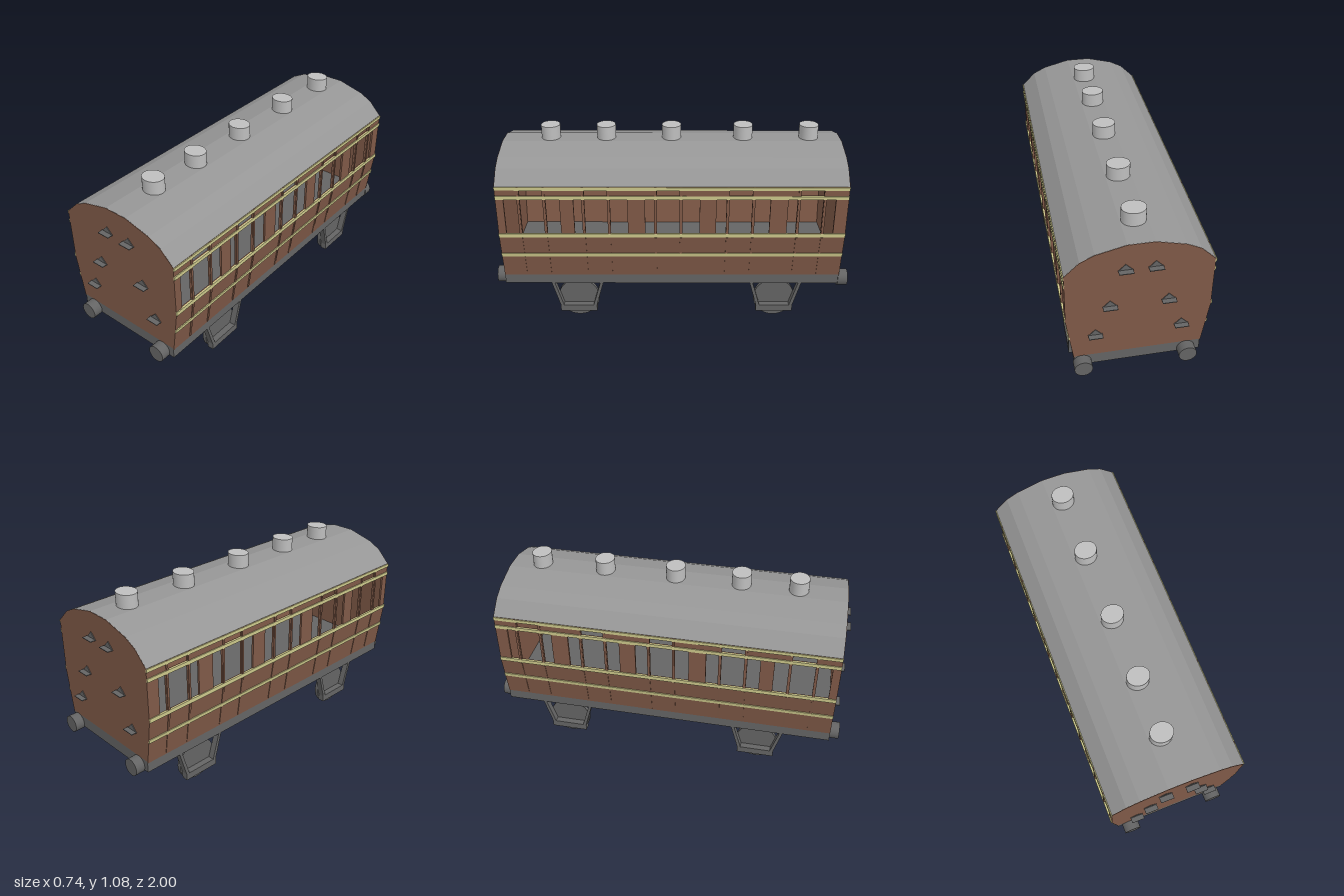
import * as THREE from 'three';

const mat = (name, color, side = THREE.FrontSide) => {
  const m = new THREE.MeshStandardMaterial({ color, side });
  m.name = name;
  return m;
};

export function createModel() {
  const brown = mat('teak brown', 0x7f5947);
  const cream = mat('cream lining', 0xcbc78a);
  const roofGrey = mat('roof grey', 0x969696);
  const ventGrey = mat('vent grey', 0xbebebe);
  const iron = mat('iron grey', 0x646464, THREE.DoubleSide);

  const root = new THREE.Group();
  root.name = 'railwayCarriage';
  const add = (name, geo, material, x = 0, y = 0, z = 0, parent = root) => {
    const m = new THREE.Mesh(geo, material);
    m.name = name;
    m.position.set(x, y, z);
    parent.add(m);
    return m;
  };
  const box = (w, h, d) => new THREE.BoxGeometry(w, h, d);
  const poly = (pts) => new THREE.Shape(pts.map(([x, y]) => new THREE.Vector2(x, y)));
  const extrude = (shape, depth) =>
    new THREE.ExtrudeGeometry(shape, { depth, bevelEnabled: false });
  const rect = (a0, a1, b0, b1) => poly([[a0, b0], [a1, b0], [a1, b1], [a0, b1]]);
  // Shape drawn in (z, y), given thickness t inward from x = 0
  const sidePlate = (shape, t) => extrude(shape, t).rotateY(-Math.PI / 2);

  const L = 0.948, W = 0.366, FOOT = 0.331, WALL = 0.012;
  const FLOOR = 0.3, WAIST = 0.55, EAVES = 0.85;

  // Underframe, which is also the floor
  add('underframe', box(0.656, FLOOR - 0.235, 2 * L), iron, 0, (FLOOR + 0.235) / 2, 0);

  // Roof shell with flat facets
  const arc = [[W, EAVES], [0.29, 0.925], [0.218, 0.961], [0.067, 0.999]];
  const mirror = (pts) => pts.map(([x, y]) => [-x, y]).reverse();
  const outer = [...arc, ...mirror(arc)];
  const inner = outer.map(([x, y]) => [x * 0.98, y - 0.012]).reverse();
  add('roof', extrude(poly([...outer, ...inner]), 2 * L - 0.004), roofGrey, 0, 0.001, -L + 0.002);

  // End walls
  const side = [[FOOT, FLOOR], [W, WAIST]];
  const endShape = poly([...side, ...outer, ...mirror(side)]);
  for (const s of [1, -1])
    add(s > 0 ? 'frontWall' : 'backWall', extrude(endShape, WALL), brown, 0, 0, s > 0 ? L - WALL : -L);

  // Side walls: compartment doors flanked by quarter windows
  const doors = {
    1: [0.756, 0.41, 0.02, -0.371, -0.752],
    [-1]: [0.756, 0.384, -0.007, -0.388, -0.757],
  };
  const pillars = [[0.948, 0.905], [0.605, 0.53], [0.24, 0.145], [-0.15, -0.24], [-0.53, -0.625], [-0.88, -0.948]];
  const HALF = 0.069, POST = 0.008;
  const lean = Math.atan2(W - FOOT, WAIST - FLOOR);

  for (const s of [1, -1]) {
    const wall = new THREE.Group();
    wall.name = s > 0 ? 'leftSide' : 'rightSide';
    root.add(wall);

    // Sloping lower panel
    const lower = poly([
      [s * FOOT, FLOOR - 0.008], [s * W, WAIST], [s * (W - WALL), WAIST], [s * (FOOT - WALL), FLOOR - 0.008],
    ]);
    add('lowerPanel', extrude(lower, 2 * L), brown, 0, 0, -L, wall);

    // Upper panel with window openings
    const upper = rect(-L, L, WAIST, EAVES);
    doors[s].forEach((c, i) => {
      const low = c - HALF, high = c + HALF;
      const openings = [
        [high + POST, pillars[i][1]], [low + POST, high - POST], [pillars[i + 1][0], low - POST],
      ];
      for (const [a, b] of openings) upper.holes.push(rect(a, b, 0.57, 0.779));
      upper.holes.push(rect(low + POST, high - POST, 0.795, 0.832));
    });
    add('windowPanel', sidePlate(upper, WALL), brown, s > 0 ? W : -W + WALL, 0, 0, wall);

    // Raised door edges
    for (const c of doors[s]) for (const d of [-HALF, HALF]) {
      add('doorEdgeUpper', box(0.008, EAVES - WAIST, 0.012), brown, s * W, (EAVES + WAIST) / 2, c + d, wall);
      add('doorEdgeLower', box(0.008, 0.25, 0.012), brown, s * (FOOT + W) / 2, (FLOOR + WAIST) / 2, c + d, wall)
        .rotation.z = -s * lean;
    }

    // Cream lining strips
    for (const [y, h] of [[0.84, 0.018], [0.787, 0.02], [0.562, 0.022]])
      add('lining', box(0.009, h, 2 * L), cream, s * (W + 0.001), y, 0, wall);
    const y = 0.433;
    const x = FOOT + (W - FOOT) * (y - FLOOR) / (WAIST - FLOOR) + 0.001;
    add('lowerLining', box(0.009, 0.021, 2 * L), cream, s * x, y, 0, wall).rotation.z = -s * lean;
  }

  // Roof vents, slightly oval
  for (const z of [0.683, 0.37, 0.003, -0.4, -0.77])
    add('roofVent', new THREE.CylinderGeometry(0.062, 0.062, 0.09, 32), ventGrey, 0, 1.031, z).scale.z = 0.86;

  // Buffers
  for (const [bx, s] of [[-0.255, 1], [0.252, 1], [-0.255, -1], [0.288, -1]])
    add('buffer', new THREE.CylinderGeometry(0.047, 0.047, 0.056, 32).rotateX(Math.PI / 2), iron, bx, 0.254, s * 0.972);

  // End steps: a thin tread under a small triangular bracket
  const bracket = poly([[-0.036, 0], [0.036, 0], [0, 0.038]]);
  for (const s of [1, -1]) for (const m of [1, -1])
    for (const [sx, sy] of [[0.073, 0.848], [0.146, 0.624], [0.219, 0.439]]) {
      add('stepTread', box(0.072, 0.004, 0.032), iron, m * sx, sy + 0.002, s * (L + 0.016));
      add('stepBracket', extrude(bracket, 0.004), iron, m * sx, sy, s > 0 ? L : -L - 0.004);
    }

  // Wheels with axle guards outside them
  const guard = poly([[-0.148, 0.237], [-0.105, 0.085], [-0.105, 0.046], [0.105, 0.046], [0.105, 0.085], [0.148, 0.237]]);
  guard.holes.push(poly([[-0.13, 0.234], [-0.086, 0.085], [0.086, 0.085], [0.13, 0.234]]));
  for (const z of [0.54, -0.592]) for (const s of [1, -1]) {
    add('wheel', new THREE.CylinderGeometry(0.118, 0.118, 0.022, 32).rotateZ(Math.PI / 2), iron, s * 0.279, 0.118, z);
    add('axleGuard', sidePlate(guard, 0.036), iron, s > 0 ? 0.327 : -0.291, 0, z);
  }
  return root;
}
